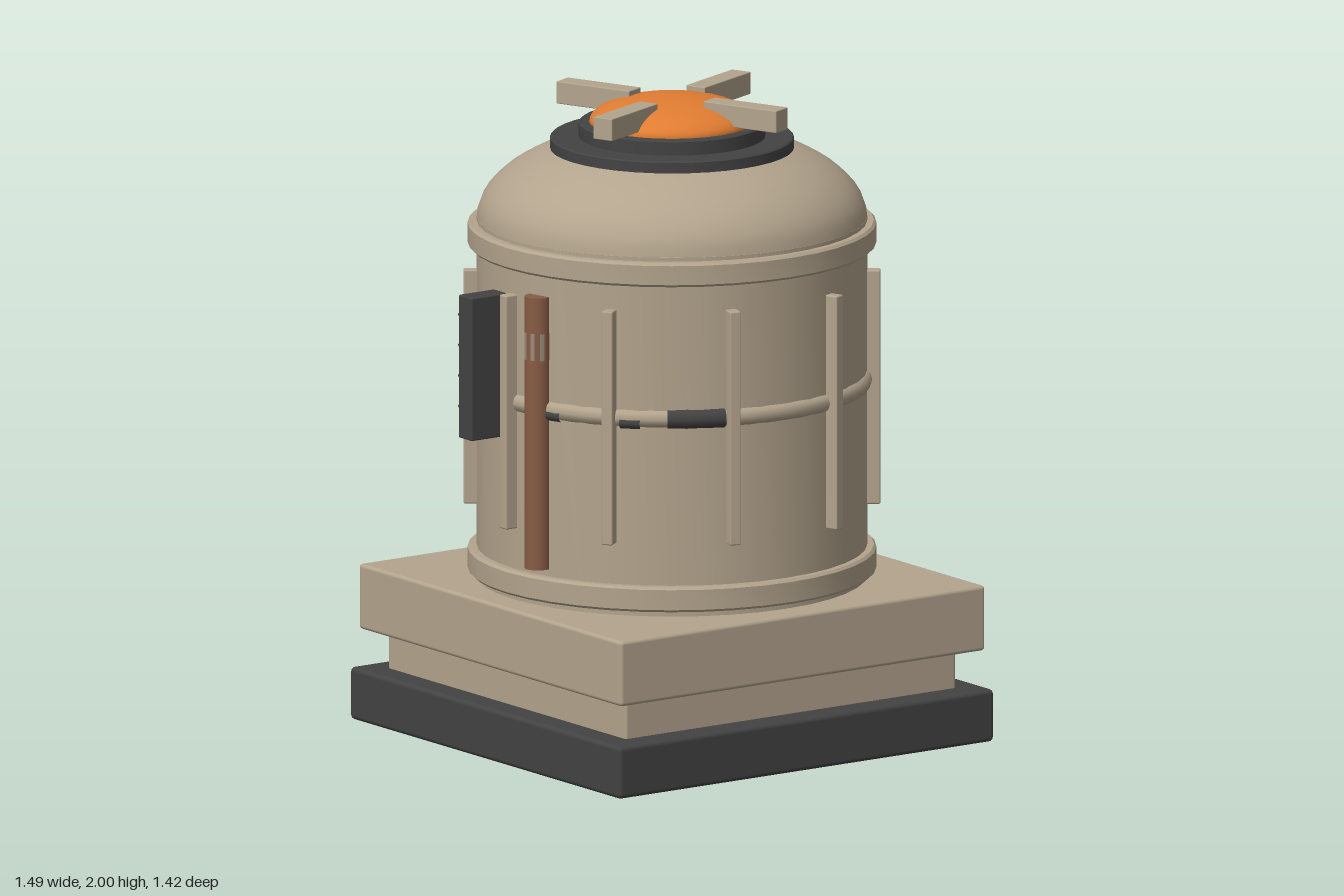
import * as THREE from 'three';
import { RoundedBoxGeometry } from 'three/addons/geometries/RoundedBoxGeometry.js';
import { toCreasedNormals } from 'three/addons/utils/BufferGeometryUtils.js';

const material = (name, color) => {
  const m = new THREE.MeshStandardMaterial({ color });
  m.name = name;
  return m;
};
const rad = THREE.MathUtils.degToRad;

export function createModel() {
  const root = new THREE.Group();
  root.name = 'generator';
  const tan = material('tanPaint', 0xb3a48d);
  const dark = material('darkMetal', 0x434343);
  const orange = material('orangeGlow', 0xe07c32);
  const rust = material('rustyCopper', 0x885c45);
  const magenta = material('magentaStrip', 0xcf2cb0);
  const worn = material('wornMetal', 0x9a8c7a);

  const add = (name, geo, mat, x = 0, y = 0, z = 0, parent = root) => {
    const mesh = new THREE.Mesh(geo, mat);
    mesh.name = name;
    mesh.position.set(x, y, z);
    parent.add(mesh);
    return mesh;
  };
  const box = (w, h, d, r = 0.005) => new RoundedBoxGeometry(w, h, d, 2, r);
  const lathe = (pts, sides = 40) => toCreasedNormals(
    new THREE.LatheGeometry(pts.map(p => new THREE.Vector2(...p)), sides), 0.6);
  // Disc or ring wall with a small bevel on both rims
  const disc = (r, y0, y1, b = 0.008) => lathe(
    [[0, y0], [r - b, y0], [r, y0 + b], [r, y1 - b], [r - b, y1], [0, y1]]);

  // Square stepped base
  add('basePlinth', box(1.42, 0.165, 1.42, 0.015), dark, 0, 0.0825, 0);
  add('baseNeck', box(1.25, 0.16, 1.25, 0.01), tan, 0, 0.225, 0);
  add('baseSlab', box(1.38, 0.205, 1.38, 0.012), tan, 0, 0.3875, 0);

  // Drum, flanges and domed shoulder
  add('drum', disc(0.6, 0.48, 1.62, 0.002), tan);
  add('lowerFlange', disc(0.628, 0.508, 0.587), tan);
  add('upperFlange', disc(0.628, 1.53, 1.606), tan);
  const shoulder = [];
  for (let i = 0; i <= 14; i++) {
    const a = i / 14 * Math.PI / 2;
    shoulder.push([0.6 * Math.cos(a), 1.615 + 0.28 * Math.sin(a)]);
  }
  add('shoulder', lathe(shoulder), tan);

  // Middle band and its chipped spots, angles measured from +x towards +z
  const bandArc = (from, to, r, tube) => new THREE.TorusGeometry(
    r, tube, 10, Math.max(3, Math.round((to - from) / 6)), rad(to - from))
    .rotateZ(rad(from)).rotateX(Math.PI / 2);
  add('middleBand', bandArc(0, 360, 0.585, 0.031), tan, 0, 1.11, 0);
  for (const [from, to] of [[110, 127], [-61, -48]])
    add('bandChip', bandArc(from, to, 0.586, 0.033), dark, 0, 1.11, 0);
  for (const [from, to] of [[135, 141], [160, 166], [-23, -16], [196, 203]])
    add('smallBandChip', bandArc(from, to, 0.599, 0.019), dark, 0, 1.097, 0);

  // Ten vertical ribs
  for (let i = 0; i < 10; i++) {
    const a = rad(18 + 36 * i);
    add('rib', box(0.036, 0.735, 0.06), tan, 0.61 * Math.sin(a), 1.083, 0.61 * Math.cos(a))
      .rotation.y = a;
  }

  // Stepped cap, glowing dome and four radial clamps
  add('capLower', disc(0.375, 1.825, 1.87, 0.004), dark);
  add('capUpper', disc(0.287, 1.86, 1.916, 0.004), dark);
  const domeScale = 0.08 / 0.255;
  add('glowDome', new THREE.SphereGeometry(0.255, 32, 14, 0, Math.PI * 2, 0, Math.PI / 2),
    orange, 0, 1.916, 0).scale.y = domeScale;
  add('domeScuff', new THREE.SphereGeometry(0.258, 5, 5, rad(241), rad(17), rad(47), rad(14)),
    worn, 0, 1.917, 0).scale.y = domeScale;
  for (let i = 0; i < 4; i++) {
    const a = rad(22 + 90 * i);
    add('clamp', box(0.265, 0.07, 0.068, 0.003), tan, 0.267 * Math.cos(a), 1.965, -0.267 * Math.sin(a))
      .rotation.y = a;
  }

  // Copper pipes and louvred boxes on both sides
  for (const s of [1, -1]) {
    add('sidePipe', new THREE.CylinderGeometry(0.041, 0.041, 0.855, 20), rust, s * 0.594, 1.037, 0.12);
    const start = s > 0 ? 0 : Math.PI;
    add('pipeScuff', new THREE.CylinderGeometry(0.043, 0.043, 0.085, 8, 1, start + rad(68), rad(75)),
      worn, s * 0.594, 1.31, 0.12);
    add('sideBox', box(0.135, 0.45, 0.07), dark, s * 0.675, 1.225, -0.056);
    for (let i = 0; i < 4; i++)
      add('louvre', box(0.09, 0.022, 0.055, 0.003), dark, s * 0.675, 1.08 + i * 0.096, -0.1)
        .rotation.x = 0.75;
  }

  // Back control panel
  const panel = new THREE.Group();
  panel.name = 'controlPanel';
  root.add(panel);
  add('panelBoard', box(0.44, 0.675, 0.065, 0.008), dark, 0, 1.138, -0.594, panel);
  add('panelScreen', box(0.31, 0.105, 0.03), dark, 0, 1.288, -0.632, panel);
  for (const y of [1.093, 0.903])
    add('panelLight', box(0.31, 0.105, 0.03), orange, 0, y, -0.632, panel);
  add('panelStrip', box(0.5, 0.046, 0.03, 0.003), magenta, 0, 1.508, -0.645, panel);

  // Ring and button below the panel
  add('buttonRing', new THREE.TorusGeometry(0.117, 0.026, 12, 32), tan, 0, 0.698, -0.625, panel);
  add('button', lathe([[0.066, 0], [0.066, 0.055], [0.055, 0.072], [0.03, 0.082], [0, 0.085]], 24),
    orange, 0, 0.698, -0.59, panel).rotation.x = -Math.PI / 2;

  return root;
}
